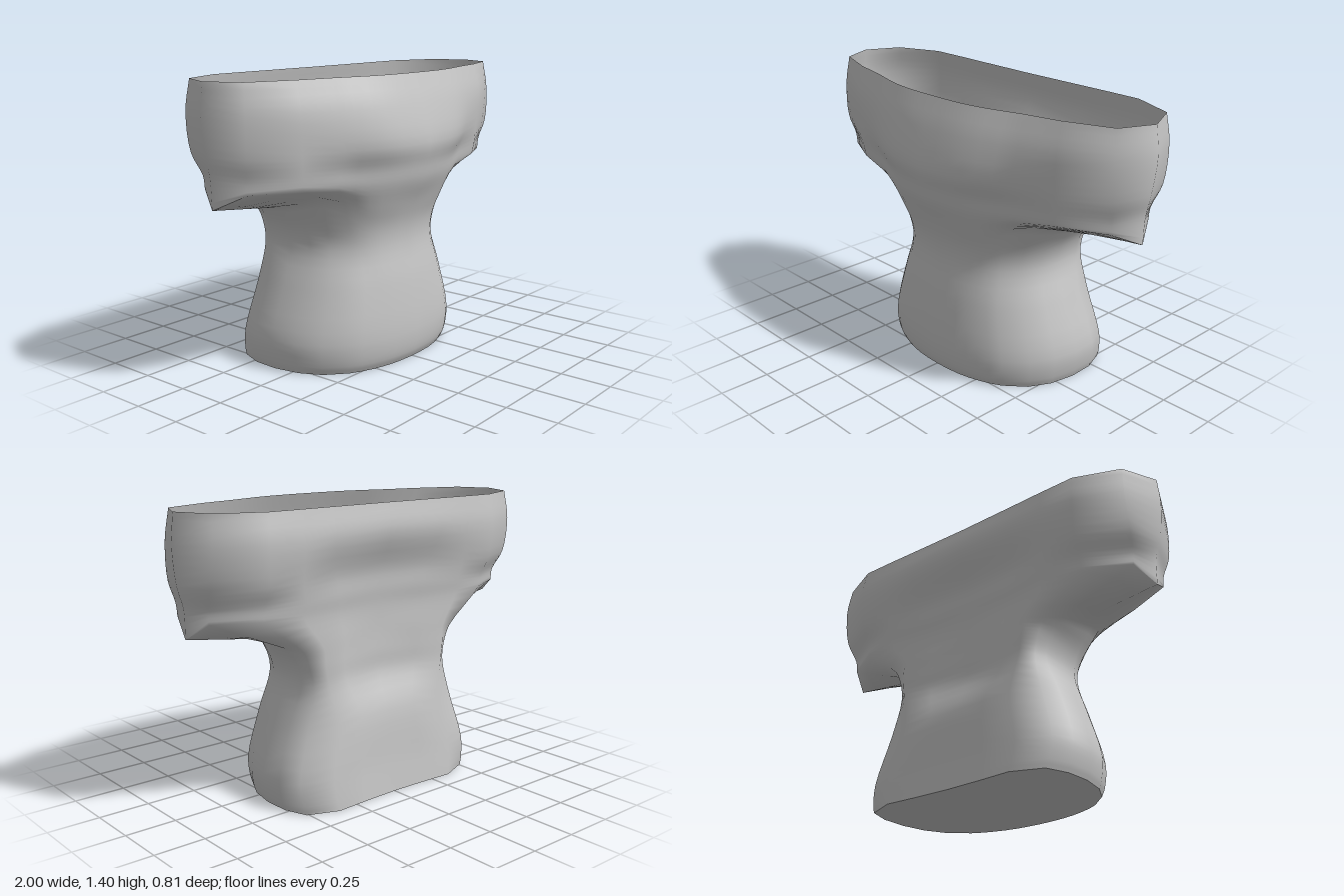
import * as THREE from 'three';
import { mergeVertices, toCreasedNormals } from 'three/addons/utils/BufferGeometryUtils.js';

// Half cross-sections as [x, z], from front centre round the left side to back centre
const base = [[0, .31], [.15, .3], [.27, .27], [.38, .22], [.475, .135], [.53, .03], [.555, -.1], [.55, -.23], [.51, -.34], [.36, -.4], [.18, -.39], [0, -.385]];
const waist = [[0, .275], [.13, .265], [.24, .235], [.32, .18], [.385, .105], [.425, .02], [.44, -.09], [.44, -.22], [.42, -.28], [.36, -.325], [.22, -.28], [0, -.265]];
const armpit = [[0, .315], [.16, .305], [.29, .27], [.4, .21], [.49, .15], [.52, .05], [.53, -.08], [.52, -.2], [.47, -.28], [.38, -.315], [.22, -.27], [0, -.255]];
const sleeve = [[0, .365], [.18, .345], [.32, .3], [.47, .24], [.67, .2], [.895, .09], [.95, -.065], [.895, -.17], [.68, -.275], [.48, -.305], [.25, -.27], [0, -.255]];
const chest = [[0, .405], [.19, .39], [.33, .35], [.48, .285], [.68, .215], [.92, .12], [.98, -.06], [.92, -.225], [.69, -.33], [.5, -.325], [.28, -.285], [0, -.272]];
const collar = [[0, .31], [.18, .305], [.33, .28], [.5, .23], [.68, .19], [.91, .105], [.985, -.06], [.905, -.235], [.685, -.325], [.5, -.325], [.33, -.322], [0, -.318]];
// Heights of the armpit and of the sleeve's lower edge at each column
const armpitY = [.79, .79, .8, .83, .85, .82, .79, .765, .75, .76, .78, .79];
const sleeveY = [.9, .9, .9, .91, .925, .92, .845, .92, .92, .91, .9, .9];

// A ring places a section at a height, scaled in width, front depth and back depth
const ring = (section, y, sx = 1, front = 1, back = 1) => section.map(([x, z], i) =>
  new THREE.Vector3(x * sx, Array.isArray(y) ? y[i] : y, z * (z > 0 ? front : back)));

const RINGS = [
  ring(base, 0),
  ring(base, .04, 1.025, 1.06, .985),
  ring(base, .15, 1.042, 1.095, .945),
  ring(base, .4, .9, 1, .865),
  ring(waist, .58),
  ring(waist, .68, 1.045, 1.02, .985),
  ring(armpit, armpitY),
  ring(sleeve, sleeveY),
  ring(sleeve, .98, 1.005, 1.05, 1.03),
  ring(chest, 1.08),
  ring(collar, 1.26, 1.015, 1.17, 1.07),
  ring(collar, 1.4),
];
const ARMPIT = 6, STEPS = 4;

// Samples a smooth curve through the points, STEPS per span
function smooth(points) {
  const curve = new THREE.CatmullRomCurve3(points);
  const n = (points.length - 1) * STEPS;
  return Array.from({ length: n + 1 }, (_, k) => curve.getPoint(k / n));
}

// One vertical column; sleeve columns break sharply at the armpit and the lower sleeve edge
function column(i) {
  const points = RINGS.map(r => r[i]);
  if (i < 4 || i > 7) return smooth(points);
  const lower = smooth(points.slice(0, ARMPIT + 1));
  const upper = smooth(points.slice(ARMPIT + 1));
  const under = [];
  for (let k = 1; k < STEPS; k++) {
    under.push(points[ARMPIT].clone().lerp(points[ARMPIT + 1], k / STEPS));
  }
  return [...lower, ...under, ...upper];
}

const mirror = c => c.map(p => new THREE.Vector3(-p.x, p.y, p.z));

// A column halfway between b and c, rounded by the neighbours a and d
const between = (a, b, c, d) => b.map((p, r) => p.clone().add(c[r]).multiplyScalar(9 / 16)
  .addScaledVector(a[r], -1 / 16).addScaledVector(d[r], -1 / 16));

// All columns round the body, with extra ones to round the chest and belly
function allColumns() {
  const cols = base.map((_, i) => column(i));
  const half = [];
  cols.forEach((c, i) => {
    half.push(c);
    if (i < 3) half.push(between(i ? cols[i - 1] : mirror(cols[1]), c, cols[i + 1], cols[i + 2]));
  });
  return [...half, ...half.slice(1, -1).reverse().map(mirror)];
}

function shellGeometry(columns) {
  const n = columns.length, rows = columns[0].length;
  const positions = [], index = [];
  for (let r = 0; r < rows; r++) {
    for (const c of columns) positions.push(c[r].x, c[r].y, c[r].z);
  }
  for (let r = 0; r < rows - 1; r++) {
    for (let i = 0; i < n; i++) {
      const a = r * n + i, b = r * n + (i + 1) % n;
      // mirror the diagonals too
      if (i < n / 2) index.push(a, b, b + n, a, b + n, a + n);
      else index.push(a, b, a + n, b, b + n, a + n);
    }
  }
  const geometry = new THREE.BufferGeometry();
  geometry.setAttribute('position', new THREE.Float32BufferAttribute(positions, 3));
  geometry.setIndex(index);
  return toCreasedNormals(mergeVertices(geometry), 1.2);
}

export function createModel() {
  const group = new THREE.Group();
  group.name = 'torso';
  const grey = new THREE.MeshStandardMaterial({ color: 0xc4c4c4, side: THREE.DoubleSide });
  grey.name = 'grey';

  // Open shell with short sleeves
  const columns = allColumns();
  const shell = new THREE.Mesh(shellGeometry(columns), grey);
  shell.name = 'torsoShell';
  group.add(shell);

  // Flat floor closing the hem
  const outline = columns.map(c => new THREE.Vector2(c[0].x, c[0].z));
  const floor = new THREE.ShapeGeometry(new THREE.Shape(outline));
  floor.rotateX(Math.PI / 2);
  const hem = new THREE.Mesh(floor, grey);
  hem.name = 'hemFloor';
  group.add(hem);
  return group;
}
